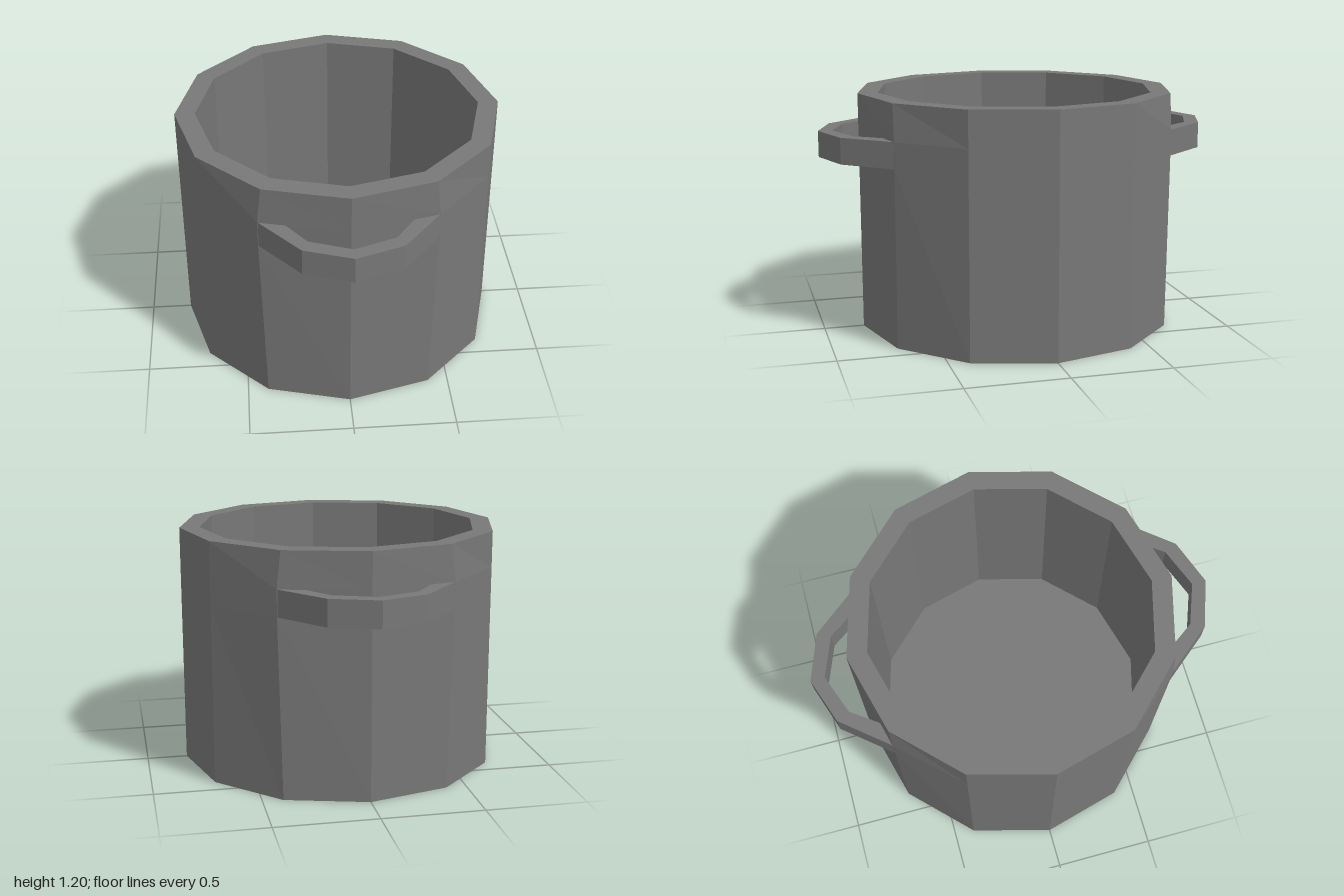
import * as THREE from 'three';

const SIDES = 12;
const HANDLE_LOW = 0.89;
const HANDLE_HIGH = 1.02;

// Separate the faces so every side is shaded flat
function faceted(geometry) {
  const flat = geometry.index ? geometry.toNonIndexed() : geometry;
  flat.computeVertexNormals();
  return flat;
}

// Hollow twelve-sided pot, its wall pulled out slightly where the handles join
function potGeometry() {
  const profile = [
    [0, 0], [0.8, 0], [0.8, HANDLE_LOW], [0.8, HANDLE_HIGH], [0.8, 1.2],
    [0.7, 1.2], [0.7, 0.1], [0, 0.1],
  ].map(([r, y]) => new THREE.Vector2(r, y));
  const geometry = new THREE.LatheGeometry(profile, SIDES);
  const p = geometry.attributes.position;
  for (let i = 0; i < p.count; i++) {
    const x = p.getX(i), y = p.getY(i), z = p.getZ(i);
    const atHandle = y > HANDLE_LOW - 0.01 && y < HANDLE_HIGH + 0.01;
    if (atHandle && Math.abs(Math.abs(x) - 0.4) < 0.01 && Math.abs(z) > 0.6) {
      p.setX(i, Math.sign(x) * 0.42);
    }
  }
  return faceted(geometry);
}

// Flat angular loop handle; its ends run into the wall
function handleGeometry() {
  const outer = [[0.42, 0.69], [0.23, 0.92], [0, 1], [-0.23, 0.92], [-0.42, 0.69]];
  const inner = [[-0.3, 0.715], [-0.2, 0.855], [0, 0.93], [0.2, 0.855], [0.3, 0.715]];
  const shape = new THREE.Shape([...outer, ...inner].map(([x, z]) => new THREE.Vector2(x, z)));
  const geometry = new THREE.ExtrudeGeometry(shape, {
    depth: HANDLE_HIGH - HANDLE_LOW, bevelEnabled: false,
  });
  geometry.rotateX(Math.PI / 2).translate(0, HANDLE_HIGH, 0);
  return faceted(geometry);
}

export function createModel() {
  const group = new THREE.Group();
  group.name = 'cookingPot';
  const metal = new THREE.MeshStandardMaterial({ color: 0x787878 });
  metal.name = 'grey metal';

  const pot = new THREE.Mesh(potGeometry(), metal);
  pot.name = 'pot';
  group.add(pot);

  const geometry = handleGeometry();
  ['frontHandle', 'backHandle'].forEach((name, i) => {
    const handle = new THREE.Mesh(geometry, metal);
    handle.name = name;
    handle.rotation.y = i * Math.PI;
    group.add(handle);
  });
  return group;
}
